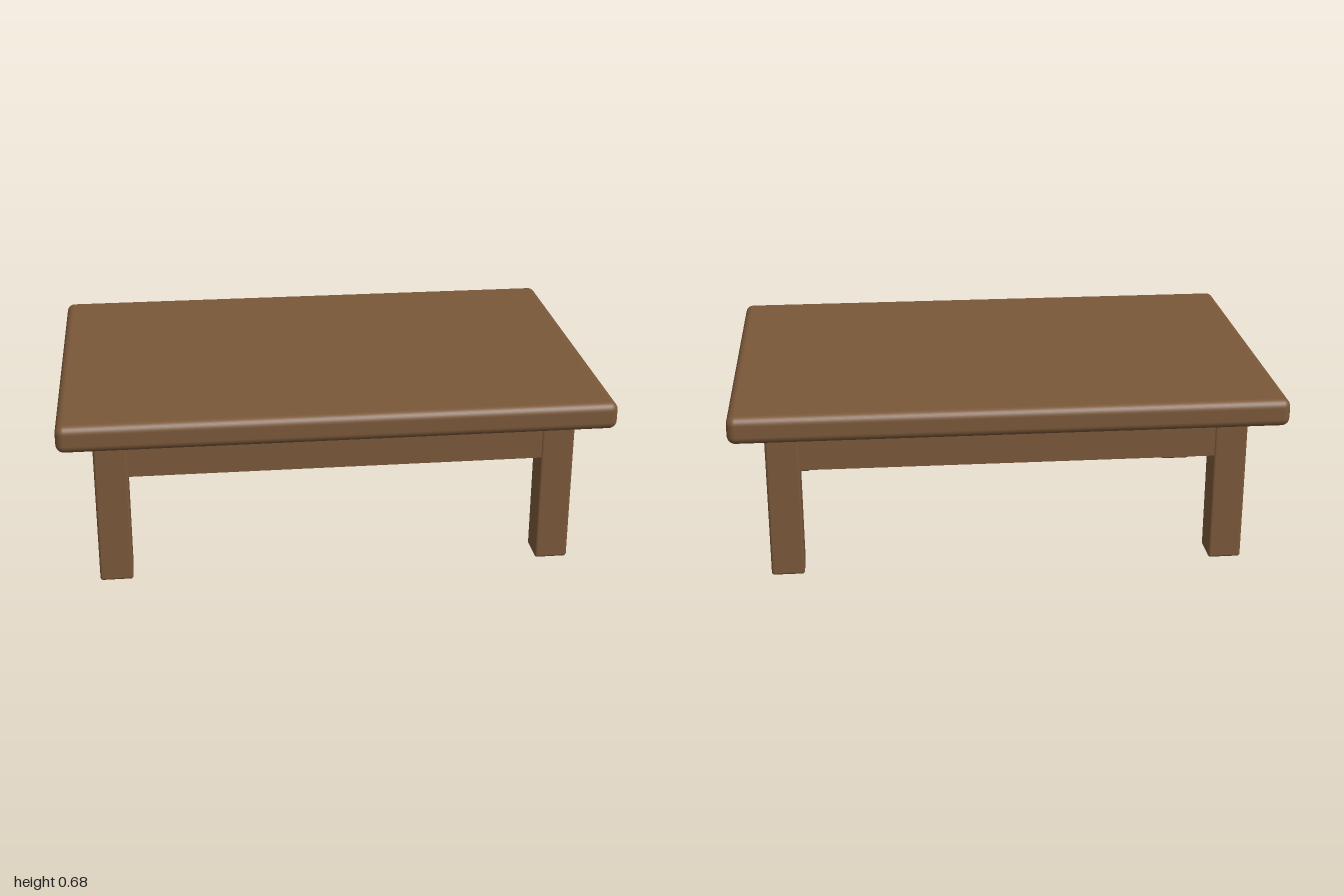
import * as THREE from 'three';
import { RoundedBoxGeometry } from 'three/addons/geometries/RoundedBoxGeometry.js';

export function createModel() {
  const table = new THREE.Group();
  table.name = 'table';
  const wood = new THREE.MeshStandardMaterial({ color: 0x7b5839 });
  wood.name = 'brown wood';

  const add = (name, geometry, x, y, z) => {
    const mesh = new THREE.Mesh(geometry, wood);
    mesh.name = name;
    mesh.position.set(x, y, z);
    table.add(mesh);
  };

  const legHeight = 0.573, legWidth = 0.122, legX = 0.818, legZ = 0.478;
  const topThickness = 0.102, apronHeight = 0.155;

  // Thick slab with softened edges
  add('tableTop', new RoundedBoxGeometry(2, topThickness, 1.334, 4, 0.03),
    0, legHeight + topThickness / 2, 0);

  // Four square legs, and a rail between each pair along the long sides
  const legGeometry = new RoundedBoxGeometry(legWidth, legHeight, legWidth, 3, 0.01);
  const apronGeometry = new THREE.BoxGeometry(2 * legX - legWidth + 0.004, apronHeight, legWidth - 0.004);
  for (const [sideZ, zName] of [[1, 'front'], [-1, 'back']]) {
    for (const [sideX, xName] of [[1, 'Left'], [-1, 'Right']]) {
      add(`${zName}${xName}Leg`, legGeometry, sideX * legX, legHeight / 2, sideZ * legZ);
    }
    add(`${zName}Apron`, apronGeometry, 0, legHeight - apronHeight / 2, sideZ * legZ);
  }
  return table;
}
